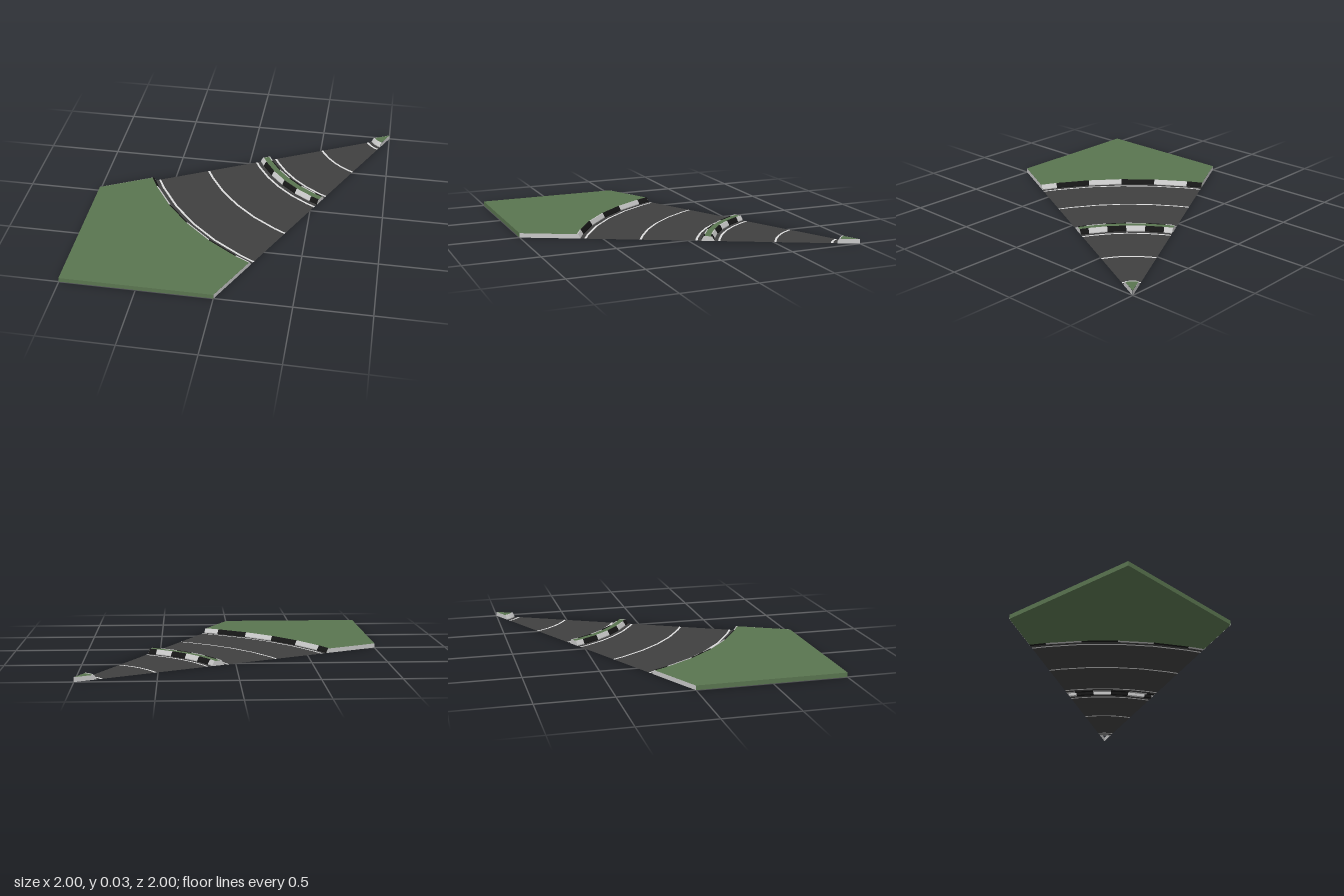
import * as THREE from 'three';

const mat = (name, color, side = THREE.FrontSide) => {
  const m = new THREE.MeshStandardMaterial({ color, side });
  m.name = name;
  return m;
};

// Every arc is centred on the sharp corner of the tile at (1, -1)
const EDGE = THREE.MathUtils.radToDeg(Math.atan(0.5));
const ANGLES = [EDGE, 30, 37.5, 45, 52.5, 60, 90 - EDGE];
const TOP = 0.032, LAWN = 0.03, CURB = 0.022;

function point(r, y, deg) {
  const t = THREE.MathUtils.degToRad(deg);
  return [1 - r * Math.cos(t), y, -1 + r * Math.sin(t)];
}

// Sweeps a profile of [radius, height] points around the corner
function sweep(profile, angles, flip = false) {
  const pos = [];
  for (let k = 0; k < angles.length - 1; k++) {
    for (let i = 0; i < profile.length - 1; i++) {
      const a = point(...profile[i], angles[k]);
      const b = point(...profile[i + 1], angles[k]);
      const c = point(...profile[i + 1], angles[k + 1]);
      const d = point(...profile[i], angles[k + 1]);
      pos.push(...(flip ? [a, c, b, a, d, c] : [a, b, c, a, c, d]).flat());
    }
  }
  const g = new THREE.BufferGeometry();
  g.setAttribute('position', new THREE.Float32BufferAttribute(pos, 3));
  g.computeVertexNormals();
  return g;
}

export function createModel() {
  const group = new THREE.Group();
  const asphalt = mat('asphalt', 0x404040, THREE.DoubleSide);
  const paint = mat('road paint', 0xdcdcdc, THREE.DoubleSide);
  const grass = mat('grass', 0x5a7550);
  const black = mat('curb black', 0x161616);
  const white = mat('curb white', 0xc8c8c8);
  const endGrey = mat('end wall', 0xc8c8c8, THREE.DoubleSide);

  const add = (name, geometry, material) => {
    const m = new THREE.Mesh(geometry, material);
    m.name = name;
    group.add(m);
    return m;
  };
  const band = (name, r0, r1, y, material) =>
    add(name, sweep([[r0, y], [r1, y]], ANGLES), material);

  // Two carriageways, each with two edge lines and a centre line
  function road(name, inner, outer) {
    const w = 0.015, mid = (inner + outer) / 2;
    const lines = [inner + 0.025, mid - w / 2, outer - 0.025 - w];
    let r = inner;
    for (const line of lines) {
      band(name + 'Surface', r, line, 0, asphalt);
      band(name + 'Line', line, line + w, 0, paint);
      r = line + w;
    }
    band(name + 'Surface', r, outer, 0, asphalt);
  }
  road('innerRoad', 0.145, 0.945);
  road('outerRoad', 1.03, 1.83);

  // Curbs with a sloped road face; dir is the side of the lawn
  function curb(name, base, dir, colours) {
    const profile = [[0, 0], [0, 0.006], [0.015, TOP], [CURB, TOP], [CURB, 0], [0, 0]]
      .map(([r, y]) => [base + dir * r, y]);
    for (let k = 0; k < ANGLES.length - 1; k++) {
      add(name, sweep(profile, [ANGLES[k], ANGLES[k + 1]], dir < 0), colours[k % 2]);
    }
  }
  curb('cornerCurb', 0.145, -1, [white, white]);
  curb('medianInnerCurb', 0.945, 1, [white, black]);
  curb('medianOuterCurb', 1.03, -1, [white, black]);
  curb('outerCurb', 1.83, 1, [black, white]);

  // Lawns
  band('cornerLawn', 0, 0.145 - CURB, LAWN, grass);
  band('medianLawn', 0.945 + CURB, 1.03 - CURB, LAWN, grass);
  const rim = 1.83 + CURB;
  const shape = new THREE.Shape();
  ANGLES.forEach((a, i) => {
    const [x, , z] = point(rim, 0, a);
    i ? shape.lineTo(x, -z) : shape.moveTo(x, -z);
  });
  shape.lineTo(0, -1);
  shape.lineTo(-1, -1);
  shape.lineTo(-1, 0);
  const lawn = new THREE.ExtrudeGeometry(shape, { depth: LAWN, bevelEnabled: false });
  lawn.rotateX(-Math.PI / 2);
  add('outerLawn', lawn, grass);

  // End walls along both straight cuts
  function endWall(name, section) {
    for (const side of [-1, 1]) {
      const deg = side < 0 ? EDGE : 90 - EDGE;
      const g = new THREE.ShapeGeometry(
        new THREE.Shape(section.map(([r, y]) => new THREE.Vector2(r, y))));
      const p = g.attributes.position;
      const t = THREE.MathUtils.degToRad(deg);
      for (let i = 0; i < p.count; i++) {
        const [x, y, z] = point(p.getX(i), p.getY(i), deg);
        // a hair outside the lawn's own side
        p.setXYZ(i, x + side * 0.001 * Math.sin(t), y, z + side * 0.001 * Math.cos(t));
      }
      g.computeVertexNormals();
      add(name, g, endGrey);
    }
  }
  endWall('cornerEnd', [[0, 0], [0.145, 0], [0.145, 0.006], [0.13, TOP], [0.123, LAWN], [0, LAWN]]);
  endWall('medianEnd', [[0.945, 0], [1.03, 0], [1.03, 0.006], [1.015, TOP], [0.96, TOP], [0.945, 0.006]]);
  endWall('outerEnd', [[1.83, 0], [Math.sqrt(5), 0], [Math.sqrt(5), LAWN],
    [rim, LAWN], [rim, TOP], [1.845, TOP], [1.83, 0.006]]);

  return group;
}
